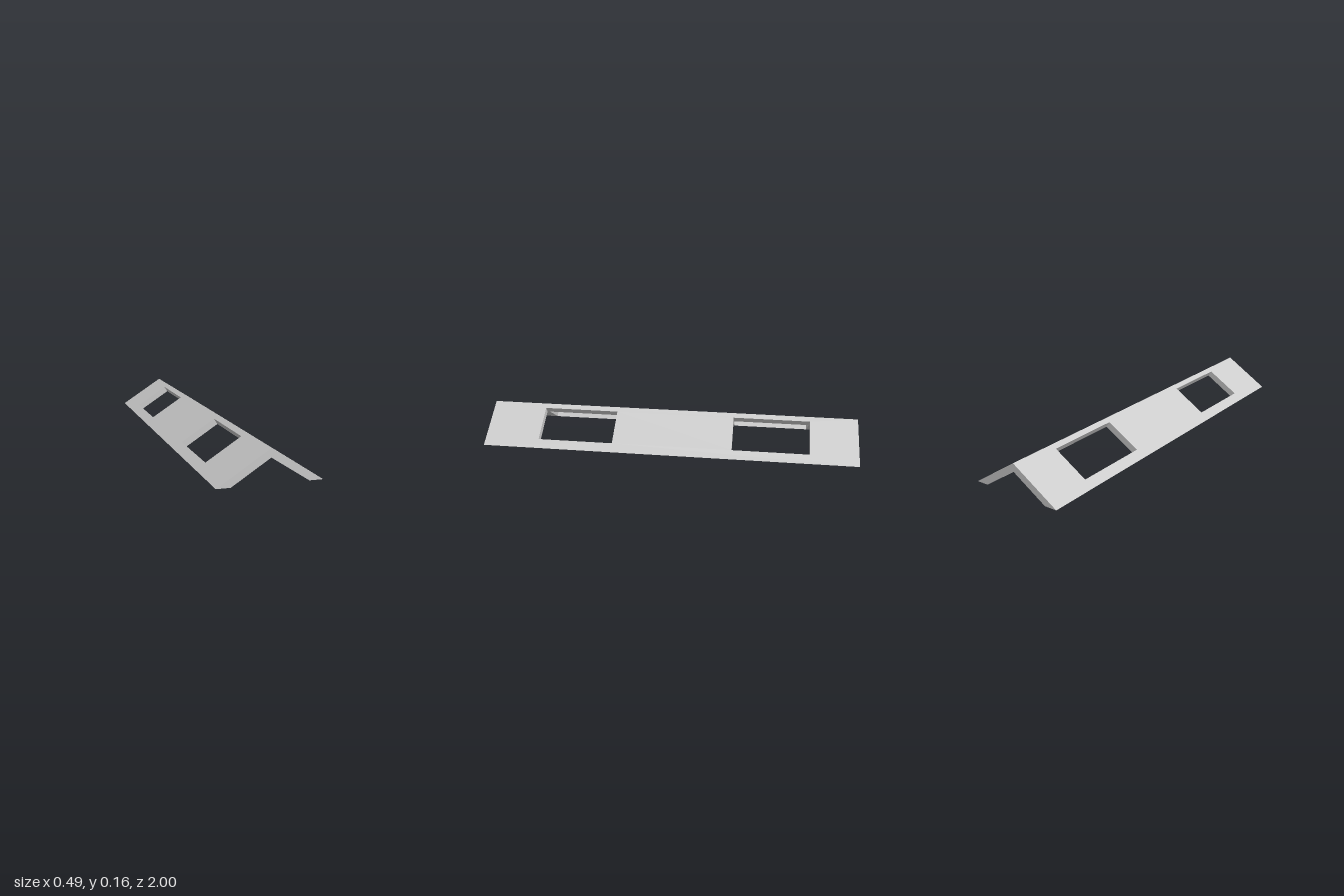
import * as THREE from 'three';

// Chevron profile: half width and ridge height of the outer and inner faces
const OUTER = { x: 0.243, y: 0.157 };
const INNER = { x: 0.178, y: 0.115 };
const HOLE_X = [0.025, 0.196];
const HOLES_Z = [[0.3, 0.705], [-0.748, -0.341]];

function rectangle(PathType, x0, x1, z0, z1) {
  return new PathType([[x0, z0], [x1, z0], [x1, z1], [x0, z1]]
    .map(([x, z]) => new THREE.Vector2(x, -z)));
}

// Horizontal run of a cut made square to the slope
function squareCutShift() {
  const angle = Math.atan2(OUTER.y, OUTER.x);
  return (OUTER.y - INNER.y) * Math.cos(angle) * Math.sin(angle);
}

// One sloping panel with two openings; side is +1 (left) or -1 (right)
function slopeGeometry(side) {
  const shape = rectangle(THREE.Shape, 0, side * OUTER.x, -1, 1);
  for (const [z0, z1] of HOLES_Z) {
    // Openings wind opposite to the outline so their walls face inward
    shape.holes.push(rectangle(THREE.Path, side * HOLE_X[0], side * HOLE_X[1], z1, z0));
  }
  const flat = new THREE.ExtrudeGeometry(shape, { depth: 1, bevelEnabled: false });
  flat.rotateX(-Math.PI / 2);

  // Tilt the slab: mitred ridge, level eave, openings square to the slope
  const p = flat.attributes.position;
  const shift = squareCutShift();
  for (let i = 0; i < p.count; i++) {
    const face = p.getY(i) > 0.5 ? OUTER : INNER;
    let x = Math.abs(p.getX(i));
    if (face === INNER) {
      if (x > OUTER.x - 0.001) x = INNER.x;
      else if (x > 0.001) x -= shift;
    }
    p.setXYZ(i, side * x, face.y * (1 - x / face.x), p.getZ(i));
  }

  // Leave out the hidden wall where the two panels meet
  const kept = [];
  for (let i = 0; i < p.count; i += 3) {
    const atRidge = [0, 1, 2].every((k) => Math.abs(p.getX(i + k)) < 1e-4);
    if (atRidge) continue;
    for (let k = 0; k < 3; k++) kept.push(p.getX(i + k), p.getY(i + k), p.getZ(i + k));
  }
  const geometry = new THREE.BufferGeometry();
  geometry.setAttribute('position', new THREE.Float32BufferAttribute(kept, 3));
  geometry.computeVertexNormals();
  return geometry;
}

export function createModel() {
  const model = new THREE.Group();
  model.name = 'gableRoof';
  const material = new THREE.MeshStandardMaterial({ color: 0xcccccc, flatShading: true });
  for (const [name, side] of [['leftSlope', 1], ['rightSlope', -1]]) {
    const slope = new THREE.Mesh(slopeGeometry(side), material);
    slope.name = name;
    model.add(slope);
  }
  return model;
}
